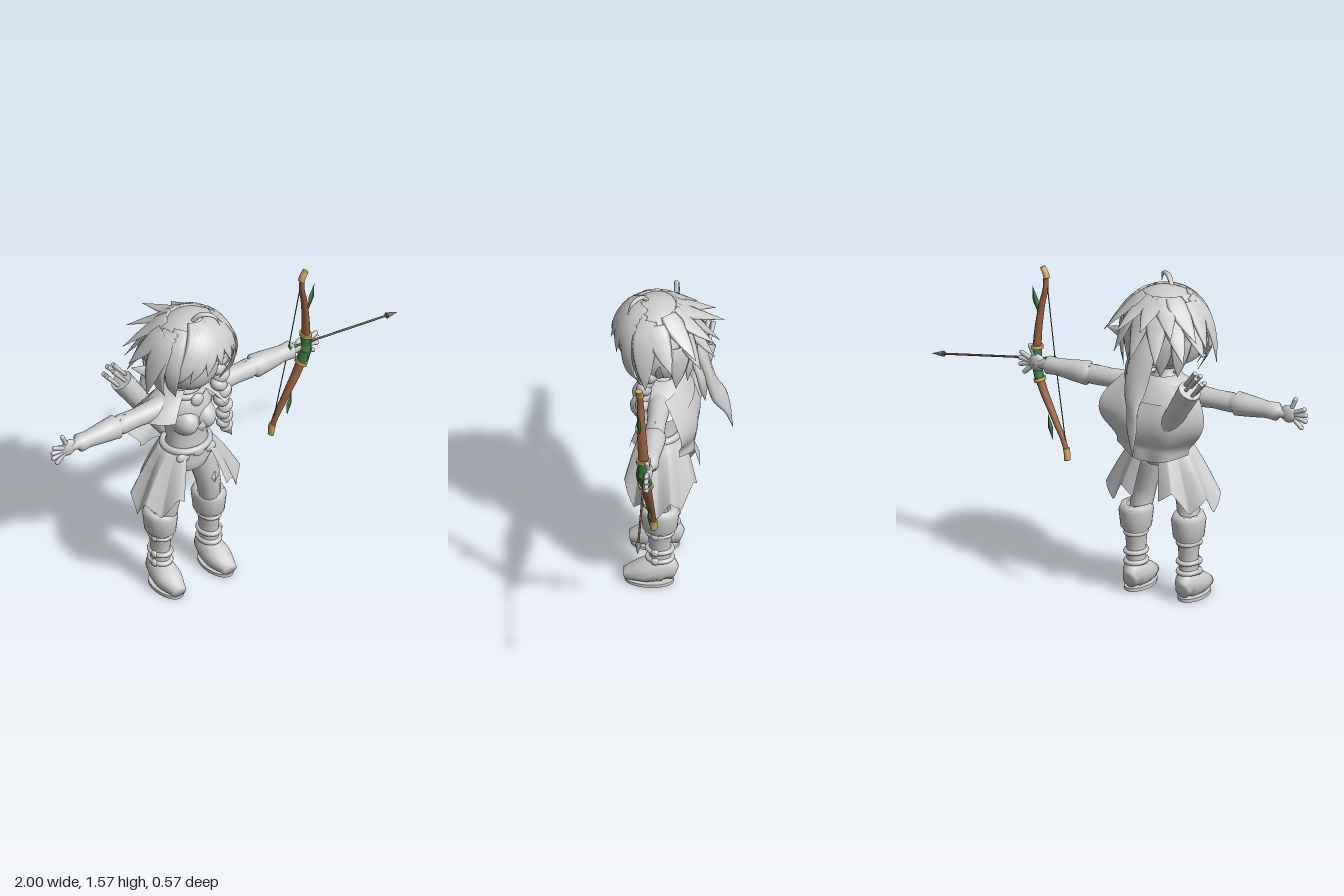
import * as THREE from 'three';
import { ParametricGeometry } from 'three/addons/geometries/ParametricGeometry.js';

const { sin, cos, abs, min, max, pow, PI } = Math;
const V = (x, y, z) => new THREE.Vector3(x, y, z);
const X = V(1, 0, 0), Z = V(0, 0, 1), HEAD = V(0, 1.32, 0.07);

// Loft of ellipses along a smooth path; rows are [x, y, z, halfWidth, halfDepth].
// The width axis follows ref; without ref it lies flat against the head.
function sweep(rows, ref, sides = 12) {
  const path = new THREE.CatmullRomCurve3(rows.map(r => V(r[0], r[1], r[2])));
  const size = new THREE.CatmullRomCurve3(rows.map(r => V(r[3], r[4], 0)));
  const steps = (rows.length - 1) * 4, pos = [], idx = [];
  for (let i = 0; i <= steps; i++) {
    const p = path.getPoint(i / steps), t = path.getTangent(i / steps), s = size.getPoint(i / steps);
    const r = ref || t.clone().cross(p.clone().sub(HEAD));
    const u = r.clone().addScaledVector(t, -r.dot(t)).normalize(), v = t.clone().cross(u);
    for (let j = 0; j < sides; j++) {
      const a = j / sides * PI * 2;
      pos.push(...p.clone().addScaledVector(u, cos(a) * max(s.x, 0.001)).addScaledVector(v, sin(a) * max(s.y, 0.001)));
    }
  }
  for (let i = 0; i < steps; i++) for (let j = 0; j < sides; j++) {
    const a = i * sides + j, b = i * sides + (j + 1) % sides;
    idx.push(a, b, a + sides, b, b + sides, a + sides);
  }
  for (let j = 1, e = steps * sides; j < sides - 1; j++) idx.push(0, j + 1, j, e, e + j, e + j + 1);
  const g = new THREE.BufferGeometry();
  g.setAttribute('position', new THREE.Float32BufferAttribute(pos, 3));
  g.setIndex(idx);
  g.computeVertexNormals();
  return g;
}

// Tapered lock of hair through a few points
const lock = (pts, w, t) => sweep(pts.map((p, i) => {
  const f = i / (pts.length - 1), k = min(1, 0.6 + 1.2 * f) * pow(1 - f, 0.6);
  return [...p, w * k, t * k];
}), null, 8);

// Point on the hair mass: turn a from the front, angle t from the crown, k times out
function hairPoint(a, t, k) {
  const front = (1 + cos(a)) / 2;
  return [sin(a) * sin(t) * 0.215 * k, HEAD.y + cos(t) * 0.21 * k, HEAD.z + cos(a) * sin(t) * (0.185 + 0.025 * front) * k];
}

export function createModel() {
  const mat = (name, color, side = THREE.FrontSide) => new THREE.MeshStandardMaterial({ name, color, side });
  const grey = mat('clay grey', 0xcccccc, THREE.DoubleSide), green = mat('leaf green', 0x407c4a);
  const wood = mat('bow wood', 0x946040), gold = mat('pale gold', 0xcca866), dark = mat('dark brown', 0x6b5845);
  const steel = mat('arrow steel', 0x7c746e);
  const root = new THREE.Group(), figure = new THREE.Group(), bow = new THREE.Group();
  root.name = 'archer'; figure.name = 'figure'; bow.name = 'bow';
  figure.position.x = -0.23;
  root.add(figure, bow);
  const add = (name, geo, m = grey, parent = figure) => {
    const mesh = new THREE.Mesh(geo, m);
    mesh.name = name; parent.add(mesh);
    return mesh;
  };
  const ball = (name, x, y, z, a, b, c) => {
    const m = add(name, new THREE.SphereGeometry(1, 20, 14));
    m.position.set(x, y, z); m.scale.set(a, b, c);
    return m;
  };
  const diamond = (name, x, y, z, a, b, tilt, m, parent) => {
    const d = add(name, new THREE.OctahedronGeometry(1), m, parent);
    d.position.set(x, y, z); d.scale.set(a, b, 0.01); d.rotation.z = tilt;
  };
  const band = (name, x, y, z, a, b, r) => {
    const m = add(name, new THREE.TorusGeometry(1, r / a, 8, 24));
    m.position.set(x, y, z); m.rotation.x = PI / 2; m.scale.set(a, b, a);
  };
  const turned = (name, pts) => add(name, new THREE.LatheGeometry(pts.map(p => new THREE.Vector2(...p)), 24));
  const sheet = (name, f, nu, nv) => add(name, new ParametricGeometry((u, v, o) => o.set(...f(u, v)), nu, nv));
  const rod = (name, a, b, r0, r1, m, parent) => {
    const d = b.clone().sub(a), mesh = add(name, new THREE.CylinderGeometry(r1, r0, d.length(), 12), m, parent);
    mesh.position.copy(a).addScaledVector(d, 0.5);
    mesh.quaternion.setFromUnitVectors(V(0, 1, 0), d.normalize());
  };

  // Torso, belt and brooch
  const torso = turned('torso', [[0.1, 0.66], [0.13, 0.72], [0.102, 0.82], [0.118, 0.92], [0.125, 1.02], [0.085, 1.08], [0.045, 1.1], [0.042, 1.16]]);
  torso.position.z = 0.06; torso.scale.z = 0.8;
  band('belt', 0, 0.785, 0.055, 0.115, 0.1, 0.018);
  band('collar', 0, 1.085, 0.06, 0.08, 0.07, 0.016);
  ball('buckle', 0, 0.775, 0.155, 0.035, 0.028, 0.015);
  ball('brooch', 0, 1.07, 0.145, 0.034, 0.034, 0.02);
  diamond('chestOrnament', 0.01, 0.93, 0.175, 0.035, 0.035, 0);

  for (const s of [-1, 1]) {
    const side = s > 0 ? 'left' : 'right';
    ball(side + 'Chest', s * 0.05, 0.95, 0.1, 0.066, 0.075, 0.092);
    ball(side + 'Pouch', s * 0.075, 0.755, 0.135, 0.036, 0.028, 0.02);

    // Thigh, boot with turned cuff, foot and straps
    add(side + 'Thigh', sweep([[s * 0.13, 0.38, 0.06, 0.05, 0.055], [s * 0.115, 0.5, 0.075, 0.058, 0.058], [s * 0.072, 0.72, 0.05, 0.075, 0.08]], X));
    const boot = turned(side + 'Boot', [[0.055, 0.05], [0.05, 0.18], [0.058, 0.29], [0.082, 0.315], [0.092, 0.4], [0.078, 0.43], [0.05, 0.425]]);
    boot.position.set(s * 0.14, 0, 0.042); boot.scale.x = 0.87;
    add(side + 'Foot', sweep([[s * 0.14, 0.055, -0.03, 0.03, 0.04], [s * 0.14, 0.08, 0.025, 0.058, 0.072],
      [s * 0.143, 0.062, 0.11, 0.067, 0.06], [s * 0.146, 0.038, 0.208, 0.036, 0.028]], X));
    const sole = add(side + 'Sole', new THREE.CylinderGeometry(1, 1, 0.016, 24));
    sole.position.set(s * 0.143, 0.008, 0.092); sole.scale.set(0.063, 1, 0.115);
    for (const y of [0.14, 0.19, 0.285]) {
      band(side + 'BootStrap', s * 0.14, y, 0.042, 0.046, 0.056, 0.012);
      ball(side + 'StrapBuckle', s * 0.187, y, 0.06, 0.013, 0.018, 0.02);
    }
    diamond(side + 'ThighDiamond', s * 0.1, 0.57, 0.145, 0.022, 0.036, 0);

    // Skirt half, open in front, with a ragged hem
    sheet(side + 'SkirtPanel', (u, v) => {
      const a = 0.45 + u * 2.45, zig = abs(((u * 3.5 + 0.35) % 1) * 2 - 1);
      const k = pow(v, 0.75), fold = 1 + 0.03 * v * sin(u * 22);
      return [s * sin(a) * (0.115 + 0.165 * k) * fold, 0.79 - v * (0.2 + 0.09 * zig + 0.05 * sin(u * PI)),
        0.05 + cos(a) * (0.1 + 0.08 * k) * fold];
    }, 56, 8);

    // Sleeve, flared forearm guard and wrist
    const arm = turned(side + 'Arm', [[0.06, 0.07], [0.054, 0.17], [0.045, 0.28], [0.048, 0.37], [0.042, 0.385],
      [0.058, 0.4], [0.052, 0.46], [0.04, 0.56], [0.044, 0.61], [0.026, 0.625], [0.022, 0.66]]);
    arm.position.set(0, 1.027, 0.045); arm.rotation.z = -s * PI / 2;
    const tip = add(side + 'ElbowPoint', new THREE.ConeGeometry(0.035, 0.1, 8));
    tip.position.set(s * 0.375, 1.06, 0.045); tip.rotation.z = s * 1.3;

    // Open hand
    ball(side + 'Palm', s * 0.67, 1.027, 0.045, 0.042, 0.043, 0.02);
    for (const a of [-0.75, -0.28, 0.08, 0.42, 1.15]) {
      const finger = add(side + 'Finger', new THREE.CapsuleGeometry(0.0115, 0.06, 4, 8));
      finger.position.set(s * (0.67 + 0.062 * cos(a)), 1.027 + 0.055 * sin(a), 0.047);
      finger.rotation.z = s * (a - PI / 2);
    }

    // Pointed ear
    add(side + 'Ear', sweep([[s * 0.12, 1.24, 0.06, 0.02, 0.03], [s * 0.2, 1.265, 0.045, 0.012, 0.035], [s * 0.285, 1.3, 0.01, 0, 0]], Z, 10));
  }

  // Shoulder mantle and back cape
  sheet('mantle', (u, v) => {
    const a = 0.6 + u * (PI * 2 - 1.2);
    return [sin(a) * (0.07 + 0.18 * v), 1.11 - 0.055 * v * (1 + v), 0.045 + cos(a) * (0.065 + 0.085 * v)];
  }, 36, 6);
  sheet('cape', (u, v) => {
    const k = u * 2 - 1, w = 0.19 + 0.09 * sin(PI * min(1, v * 1.1));
    return [k * w, 1.08 - 0.37 * v + 0.05 * v * k * k,
      -0.03 - 0.1 * sin(PI * min(0.7, v * 0.8 + 0.05)) + 0.06 * k * k + 0.006 * v * sin(u * 16)];
  }, 30, 14);

  // Quiver with arrows, running down through the cape
  const mouth = V(-0.24, 1.12, -0.13), base = V(-0.03, 0.79, -0.055), along = mouth.clone().sub(base).normalize();
  rod('quiver', base, mouth, 0.042, 0.056);
  ball('quiverBase', base.x, base.y, base.z, 0.042, 0.042, 0.042);
  for (let i = 0; i < 5; i++) {
    const a = mouth.clone().add(V(cos(i * 1.26), cos(i * 1.26), sin(i * 1.26)).multiplyScalar(0.024));
    rod('quiverArrow', a, a.clone().addScaledVector(along, 0.08).add(V(-0.02, 0.01, 0)), 0.008, 0.012);
  }

  // Face, and hair cap cut high in front
  ball('face', 0, 1.27, 0.08, 0.145, 0.15, 0.14);
  sheet('hairCap', (u, v) => hairPoint(u * PI * 2, v * (2.25 - 0.9 * pow((1 + cos(u * PI * 2)) / 2, 2)), 1), 40, 18);

  // Locks turn from a0 to a1 along the cap, then flick outward toward the tip
  const headLock = (name, a0, a1, from, to, flick, w) => add(name, lock([0, 1, 2, 3, 4].map(i =>
    hairPoint(a0 + (a1 - a0) * i / 4, from + (to - from) * i / 4, 1.01 + flick * pow(i / 4, 3))), w, 0.014));
  for (let i = -3; i <= 2; i++) headLock('fringeLock', 0.3 + i * 0.12, 0.2 + i * 0.38, 0.35, 1.5 + 0.14 * abs(i), 0.02, 0.07);
  for (const s of [-1, 1]) {
    headLock('templeLock', s * 0.9, s * 1.0, 0.5, 2.45, 0.08, 0.06);
    headLock('cheekLock', s * 1.3, s * 1.35, 0.6, 2.45, 0.15, 0.075);
    headLock('sideLock', s * 1.3, s * 1.45, 0.7, 2.05, 0.35, 0.08);
    headLock('sideSpike', s * 1.65, s * 1.95, 0.7, 1.65, 0.35, 0.07);
  }
  for (let i = -2; i <= 2; i++) {
    const a = PI + i * 0.42;
    headLock('upperSpike', a, a + 0.1, 0.5, 1.32 + 0.08 * abs(i), 0.75 - 0.14 * abs(i), 0.07);
    headLock('middleSpike', a + 0.2, a + 0.3, 0.9, 1.8, 0.65 - 0.12 * abs(i), 0.07);
    headLock('napeSpike', a, a - 0.1, 1.3, 2.3, 0.25, 0.07);
  }

  // Long tail behind and curl on the crown
  add('longTail', lock([[0, 1.36, -0.1], [0.01, 1.22, -0.15], [0.02, 1.06, -0.2], [0, 0.94, -0.255], [-0.02, 0.8, -0.285]], 0.085, 0.03));
  add('tailStrand', lock([[0.05, 1.3, -0.09], [0.07, 1.14, -0.15], [0.03, 0.98, -0.16]], 0.06, 0.02));
  add('crownCurl', lock([[-0.02, 1.5, 0.11], [0.02, 1.555, 0.14], [0.07, 1.55, 0.18], [0.09, 1.5, 0.2]], 0.018, 0.014));

  // Braid over the left shoulder
  const braid = new THREE.CatmullRomCurve3([V(0.16, 1.25, 0.08), V(0.15, 1.1, 0.12), V(0.175, 0.92, 0.115), V(0.19, 0.8, 0.1)]);
  for (let i = 0; i < 12; i++) {
    const p = braid.getPoint(i / 11), r = 0.052 - i * 0.0016, s = i % 2 ? 1 : -1;
    ball('braidKnot', p.x + s * 0.01, p.y, p.z, r, r * 0.75, r * 0.8).rotation.z = s * 0.6;
  }
  add('braidTip', lock([[0.19, 0.83, 0.1], [0.2, 0.79, 0.1], [0.24, 0.72, 0.09]], 0.035, 0.025));

  // Bow: pieces of one curve, slimmer toward the tips
  const bowLine = new THREE.SplineCurve([[0.436, 1.495], [0.412, 1.43], [0.438, 1.28], [0.452, 1.1], [0.435, 0.95],
    [0.35, 0.77], [0.285, 0.64], [0.274, 0.572]].map(p => new THREE.Vector2(...p)));
  const bowPoint = t => {
    const p = bowLine.getPointAt(t);
    return V(p.x, p.y, 0.035 + 0.06 * (p.y - 0.58));
  };
  const bowPart = (name, t0, t1, k, m) => add(name, sweep([0, 1, 2, 3, 4, 5].map(i => {
    const t = t0 + (t1 - t0) * i / 5, w = k * (0.028 - 0.015 * abs(2 * t - 1));
    return [...bowPoint(t), w, w * 0.75];
  }), Z), m, bow);
  bowPart('upperLimb', 0.04, 0.42, 1, wood);
  bowPart('grip', 0.42, 0.58, 1.08, green);
  bowPart('lowerLimb', 0.58, 0.96, 1, wood);
  bowPart('upperTip', 0, 0.06, 1.25, gold);
  bowPart('lowerTip', 0.94, 1, 1.35, gold);
  bowPart('upperRing', 0.408, 0.426, 1.4, gold);
  bowPart('lowerRing', 0.574, 0.592, 1.4, gold);
  diamond('upperLeaf', 0.47, 1.32, 0.085, 0.016, 0.075, -0.25, green, bow);
  diamond('lowerLeaf', 0.37, 0.715, 0.047, 0.014, 0.065, -0.2, green, bow);
  diamond('gripLeaf', 0.455, 1.02, 0.092, 0.014, 0.07, -0.15, green, bow);

  // String and nocked arrow
  const nock = V(0.355, 1.057, 0.064), point = V(1, 0.967, 0.041), neck = nock.clone().lerp(point, 0.9);
  for (const t of [0.05, 0.95]) rod('string', bowPoint(t), nock, 0.0025, 0.0025, dark, bow);
  rod('arrowShaft', nock, neck, 0.005, 0.005, dark, bow);
  rod('arrowHead', neck, point, 0.015, 0, steel, bow);
  rod('fletching', nock, nock.clone().lerp(point, 0.08), 0.013, 0.006, green, bow);
  return root;
}
